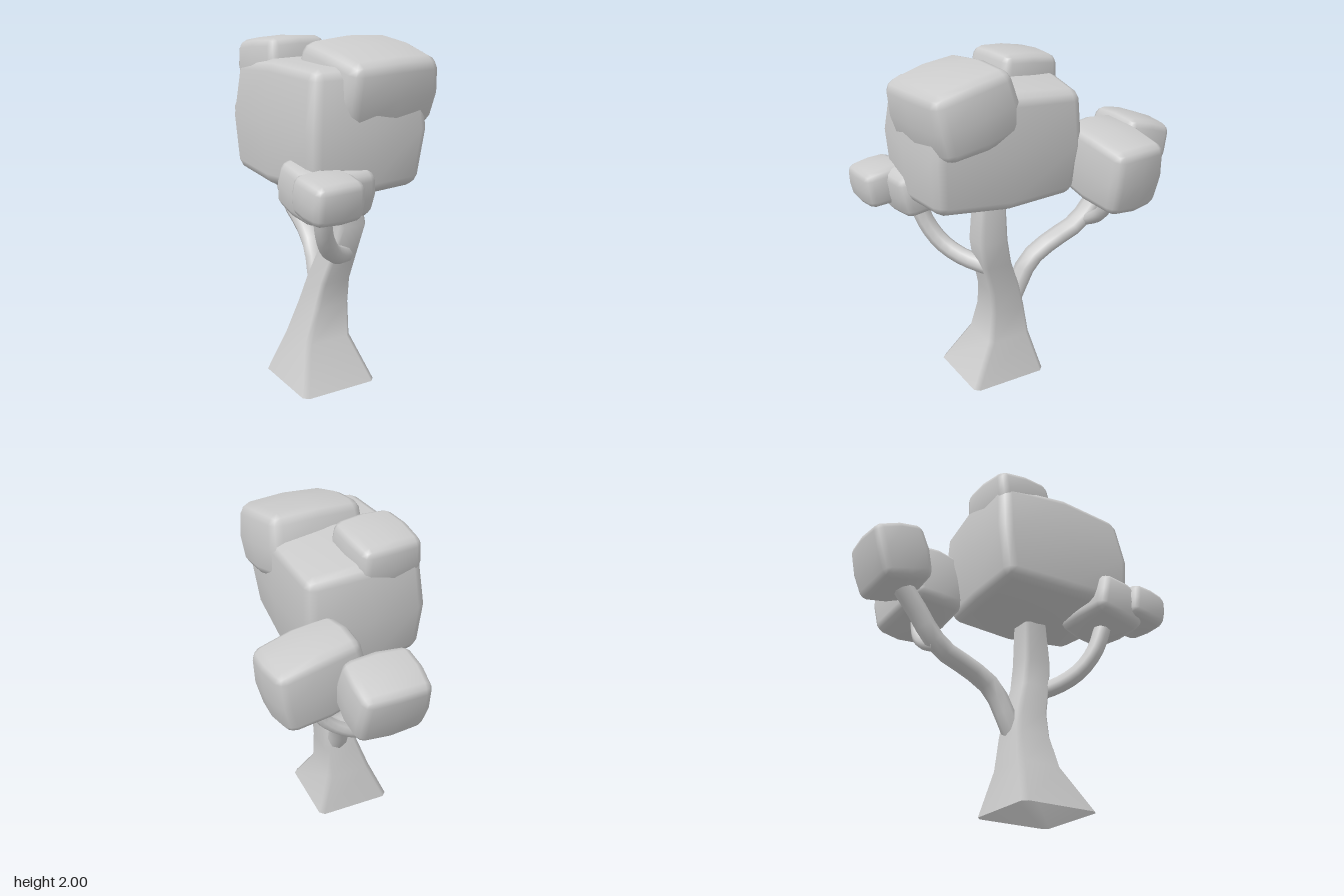
import * as THREE from 'three';
import { mergeVertices } from 'three/addons/utils/BufferGeometryUtils.js';

// Double-sided because the trunk is open at the base
const clay = new THREE.MeshStandardMaterial({ color: 0xcccccc, side: THREE.DoubleSide });
clay.name = 'plain grey';

// Pillow-like block: bevelled edges, faces bulging in the middle
function pillow(w, h, d, r, bulge = 0.08) {
  let geo = new THREE.BoxGeometry(2, 2, 2, 4, 4, 4);
  geo.deleteAttribute('normal');
  geo.deleteAttribute('uv');
  geo = mergeVertices(geo, 1e-3);
  const half = [w / 2, h / 2, d / 2];
  const pos = geo.attributes.position;
  for (let i = 0; i < pos.count; i++) {
    const t = [pos.getX(i), pos.getY(i), pos.getZ(i)];
    const inner = t.map((v, a) => THREE.MathUtils.clamp(v * 2, -1, 1) * (half[a] - r));
    const out = new THREE.Vector3(...t.map(v => (Math.abs(v) > 0.9 ? Math.sign(v) : 0))).setLength(r);
    const p = inner.map((v, a) => v + out.getComponent(a));
    const q = p.map((v, a) => (v / half[a]) ** 2);
    const sum = q[0] + q[1] + q[2];
    pos.setXYZ(i, ...p.map((v, a) => v * (1 - bulge * (sum - q[a]))));
  }
  geo.computeVertexNormals();
  return geo;
}

// Open trunk lofted through bevelled-square rings: [y, xMin, xMax, zMin, zMax, corner]
function trunkGeometry(rings) {
  const pos = [], idx = [], n = 8;
  rings.forEach(([y, x0, x1, z0, z1, c], i) => {
    const ring = [[1, -c], [1, c], [c, 1], [-c, 1], [-1, c], [-1, -c], [-c, -1], [c, -1]];
    for (const [u, v] of ring) pos.push((x0 + x1 + u * (x1 - x0)) / 2, y, (z0 + z1 + v * (z1 - z0)) / 2);
    if (i === rings.length - 1) return;
    for (let j = 0; j < n; j++) {
      const a = i * n + j, b = i * n + (j + 1) % n;
      idx.push(a, a + n, b, b, a + n, b + n);
    }
  });
  const geo = new THREE.BufferGeometry();
  geo.setAttribute('position', new THREE.Float32BufferAttribute(pos, 3));
  geo.setIndex(idx);
  geo.computeVertexNormals();
  return geo;
}

// Tube along a curve, widened in x by a factor
function branchGeometry(points, radius, widen) {
  const curve = new THREE.CatmullRomCurve3(points.map(([x, y, z]) => new THREE.Vector3(x / widen, y, z)));
  return new THREE.TubeGeometry(curve, 12, radius, 8).scale(widen, 1, 1);
}

export function createModel() {
  const tree = new THREE.Group();
  tree.name = 'tree';
  const add = (name, geo) => {
    const mesh = new THREE.Mesh(geo, clay);
    mesh.name = name;
    tree.add(mesh);
    return mesh;
  };

  // Flared, leaning trunk
  add('trunk', trunkGeometry([
    [0, -0.375, 0.103, -0.06, 0.425, 0.88],
    [0.25, -0.27, 0.025, -0.005, 0.275, 0.8],
    [0.45, -0.2, 0.025, 0.03, 0.255, 0.78],
    [0.6, -0.165, 0.03, 0.065, 0.265, 0.75],
    [0.78, -0.125, 0.05, 0.13, 0.315, 0.75],
    [0.95, -0.095, 0.08, 0.17, 0.35, 0.75],
    [1.2, -0.11, 0.05, 0.165, 0.315, 0.75],
    [1.4, -0.11, 0.04, 0.165, 0.3, 0.75],
  ]));

  // Branches
  add('backBranch', branchGeometry([
    [-0.07, 0.4, 0.11], [-0.065, 0.53, 0.05], [-0.045, 0.72, -0.04], [-0.025, 0.82, -0.17],
    [-0.01, 0.9, -0.34], [-0.005, 0.98, -0.43], [0, 1.11, -0.52], [0.01, 1.27, -0.64],
  ], 0.055, 1.25));
  add('backTwig', branchGeometry([
    [-0.02, 0.92, -0.4], [0.08, 0.965, -0.41], [0.18, 1.03, -0.4], [0.245, 1.11, -0.39], [0.27, 1.26, -0.39],
  ], 0.04, 1));
  add('frontBranch', branchGeometry([
    [-0.01, 0.765, 0.26], [-0.13, 0.81, 0.37], [-0.23, 0.88, 0.45], [-0.3, 0.99, 0.51], [-0.335, 1.13, 0.55], [-0.34, 1.24, 0.57],
  ], 0.053, 1));

  // Foliage: name, size, edge radius, centre, rotation
  const foliage = [
    ['mainFoliage', [0.77, 0.71, 0.99], 0.06, [-0.118, 1.545, 0.225], [-0.035, 0, -0.05]],
    ['topFrontFoliage', [0.63, 0.42, 0.55], 0.06, [-0.01, 1.77, 0.457], [0.2, 0.09, 0]],
    ['topBackFoliage', [0.4, 0.3, 0.41], 0.045, [-0.24, 1.84, -0.047], [-0.12, 0.09, 0]],
    ['sideFoliage', [0.55, 0.43, 0.385], 0.05, [0.287, 1.387, -0.375], [0, 0.1, -0.16]],
    ['backFoliage', [0.425, 0.37, 0.35], 0.045, [0.022, 1.387, -0.69], [-0.28, 0, 0]],
    ['frontFoliage', [0.44, 0.28, 0.37], 0.045, [-0.325, 1.27, 0.57], [0.2, 0.06, 0]],
    ['smallFrontFoliage', [0.31, 0.23, 0.28], 0.04, [-0.42, 1.275, 0.748], [0.13, 0.05, 0]],
  ];
  for (const [name, size, radius, centre, turn] of foliage) {
    const mesh = add(name, pillow(...size, radius));
    mesh.position.set(...centre);
    mesh.rotation.set(...turn);
  }
  return tree;
}
